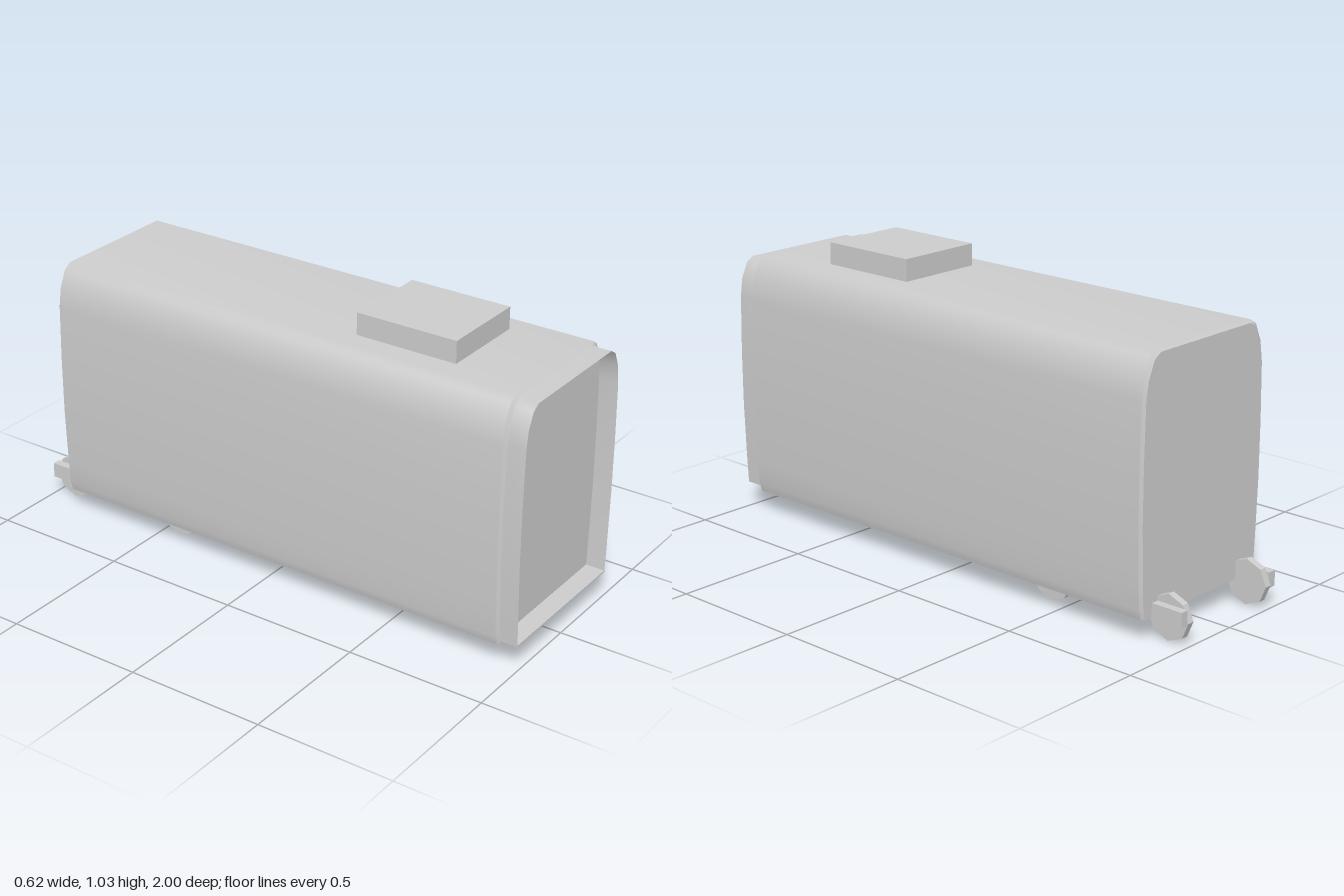
import * as THREE from 'three';

// Half outline of the carriage section, floor to roof: [x, y]
const HALF = [[0.288, 0.076], [0.298, 0.11], [0.303, 0.2], [0.31, 0.4], [0.31, 0.6],
  [0.305, 0.8], [0.295, 0.87], [0.268, 0.932], [0.238, 0.951]];
const COLLAR = [[0.286, 0.095], [0.291, 0.2], [0.297, 0.4], [0.297, 0.6],
  [0.292, 0.8], [0.283, 0.865], [0.258, 0.92], [0.23, 0.938]];

// Mirrored outline, running from the +x floor edge over the roof to the -x floor edge
const section = (half, inset = 0) => {
  const right = half.map(([x, y]) => [x - inset, y > 0.85 ? y - inset * 0.8 : y]);
  return [...right, ...right.map(([x, y]) => [-x, y]).reverse()];
};

// Skin between sections given as [outline, z], ordered from back to front
function loft(rings, closed = false) {
  const n = rings[0][0].length;
  const pos = [], index = [];
  for (const [pts, z] of rings) for (const [x, y] of pts) pos.push(x, y, z);
  for (let r = 0; r < rings.length - 1; r++) {
    for (let i = 0; i < (closed ? n : n - 1); i++) {
      const j = (i + 1) % n;
      const a = r * n + i, b = r * n + j, c = a + n, d = b + n;
      index.push(a, b, d, a, d, c);
    }
  }
  const g = new THREE.BufferGeometry();
  g.setAttribute('position', new THREE.Float32BufferAttribute(pos, 3));
  g.setIndex(index);
  g.computeVertexNormals();
  return g;
}

const panel = (pts) => new THREE.ShapeGeometry(new THREE.Shape(pts.map(([x, y]) => new THREE.Vector2(x, y))));

export function createModel() {
  const group = new THREE.Group();
  const grey = new THREE.MeshStandardMaterial({ color: 0xcccccc });
  grey.name = 'plain grey';
  const greyOpen = grey.clone();
  greyOpen.side = THREE.DoubleSide;

  const add = (name, geometry, x = 0, y = 0, z = 0, material = grey) => {
    const mesh = new THREE.Mesh(geometry, material);
    mesh.name = name;
    mesh.position.set(x, y, z);
    group.add(mesh);
    return mesh;
  };
  const box = (name, w, h, d, x, y, z) => add(name, new THREE.BoxGeometry(w, h, d), x, y, z);

  // Body shell with narrow bevels at both ends
  const full = section(HALF), inner = section(HALF, 0.01);
  add('bodyShell', loft([[full, -0.867], [full, 0.925]]));
  add('backBevel', loft([[inner, -0.876], [full, -0.867]]));
  add('frontBevel', loft([[full, 0.925], [inner, 0.935]]));

  // End walls and floor
  add('backWall', panel(inner), 0, 0, -0.876).rotation.y = Math.PI;
  add('frontWall', panel(inner), 0, 0, 0.93);
  box('floor', 0.578, 0.01, 1.806, 0, 0.084, 0.028);

  // Open collar at the front
  const collar = section(COLLAR);
  add('frontCollar', loft([[collar, 0.925], [collar, 1]]), 0, 0, 0, greyOpen);
  box('collarFloor', 0.572, 0.006, 0.075, 0, 0.096, 0.9625);

  // Roof unit
  box('roofUnit', 0.324, 0.09, 0.377, 0, 0.985, 0.4735);

  // Eight-sided wheels and the beams that carry them
  const wheel = new THREE.CylinderGeometry(0.08, 0.08, 0.026, 8).toNonIndexed();
  wheel.rotateZ(Math.PI / 2);
  wheel.computeVertexNormals();
  for (const side of [1, -1]) {
    for (const z of [-0.43, -0.92]) add('wheel', wheel, side * 0.204, 0.08, z);
    box('wheelBeam', 0.03, 0.055, 0.665, side * 0.231, 0.0975, -0.6625);
  }
  return group;
}
